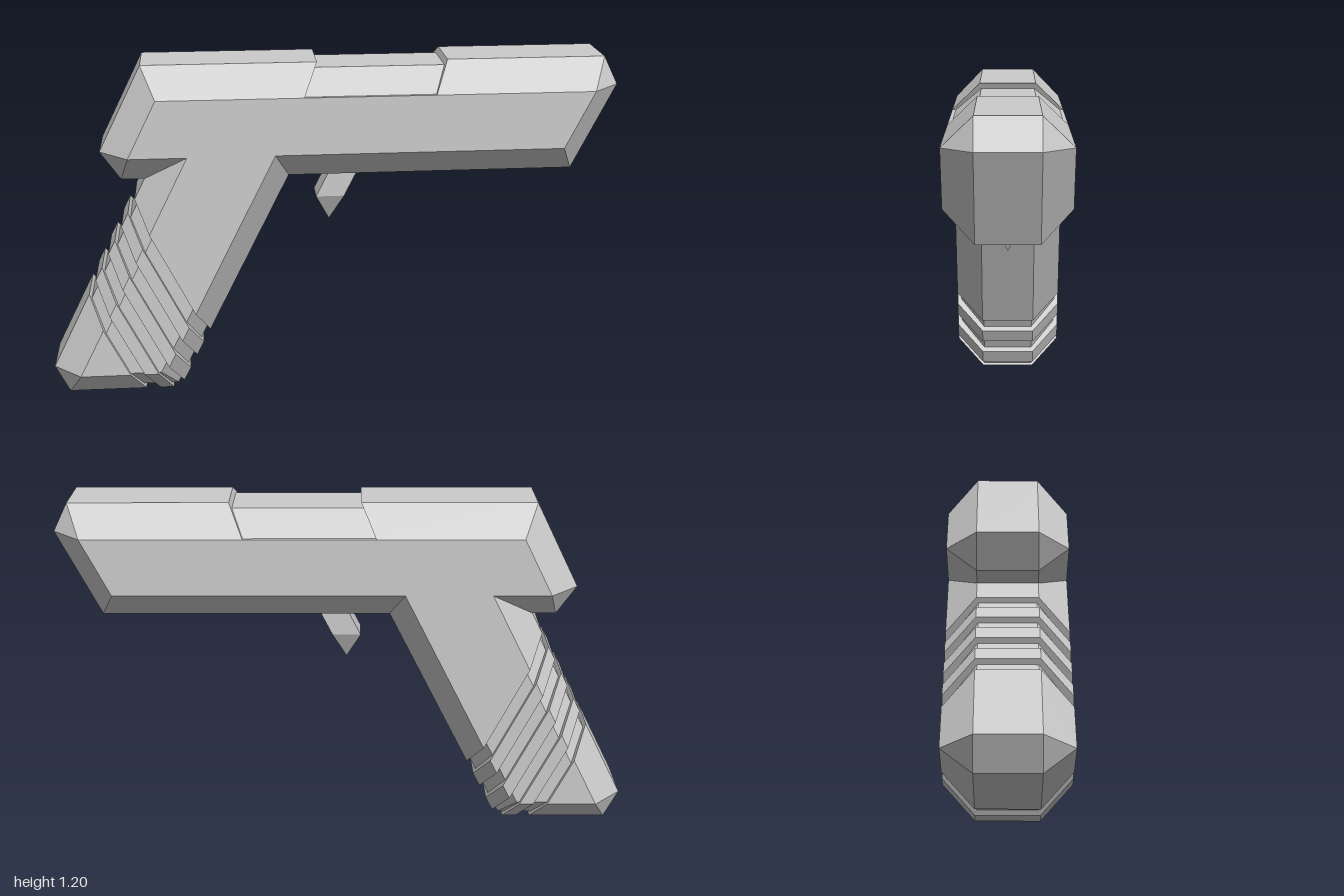
import * as THREE from 'three';
import { ConvexGeometry } from 'three/addons/geometries/ConvexGeometry.js';

const material = new THREE.MeshStandardMaterial({ color: 0xcccccc, flatShading: true });

function hull(name, points) {
  const unique = new Map();
  for (const p of points) unique.set(p.toArray().map((v) => Math.round(v * 1e5)).join(), p);
  const mesh = new THREE.Mesh(new ConvexGeometry([...unique.values()]), material);
  mesh.name = name;
  return mesh;
}

// [x, y, z] corners repeated on both sides of the centre plane
const mirrored = (list) =>
  list.flatMap(([x, y, z]) => [new THREE.Vector3(x, y, z), new THREE.Vector3(x, y, -z)]);

// Edges of the bevelled, leaning grip, shrunk by an inset d
function gripEdges(d) {
  const front = (y) => -0.55 + 0.5 * y - 1.1 * d;
  const rear = (y) => -1.05 + 0.5 * y + 1.1 * d;
  const top = 1.0, bevel = 0.1;
  const outer = [[rear(top), top], [rear(0.1), 0.1], [-0.95 + d / 2, d], [front(d), d], [front(top), top]];
  const inner = [[rear(top) + bevel, top], [rear(0.1) + bevel, 0.1], [rear(0.1) + bevel, 0.1],
    [front(0.1) - bevel, 0.1], [front(top) - bevel, top]];
  const edges = [];
  for (const side of [1, -1]) {
    const o = outer.map(([x, y]) => new THREE.Vector3(x, y, side * (0.1 - 0.4 * d)));
    const n = inner.map(([x, y]) => new THREE.Vector3(x, y, side * (0.2 - d)));
    o.forEach((p, i) => {
      const j = (i + 1) % o.length;
      edges.push([p, o[j]], [n[i], n[j]], [p, n[i]]);
      if (side > 0) edges.push([p, new THREE.Vector3(p.x, p.y, -p.z)]);
    });
  }
  return edges;
}

// Slice of the grip between two slanted planes 2x + y = low and high
function gripSlice(name, d, low, high) {
  const level = (p) => 2 * p.x + p.y;
  const points = [];
  for (const [a, b] of gripEdges(d)) {
    const la = level(a), lb = level(b);
    for (const [p, l] of [[a, la], [b, lb]]) if (l >= low && l <= high) points.push(p);
    for (const cut of [low, high]) {
      if ((la - cut) * (lb - cut) < 0) points.push(a.clone().lerp(b, (cut - la) / (lb - la)));
    }
  }
  return hull(name, points);
}

export function createModel() {
  const model = new THREE.Group();

  // Barrel body up to the shoulder line
  model.add(hull('barrelBody', mirrored([
    [1, 1.1, 0.1], [0.85, 0.8, 0.1], [-0.73, 0.8, 0.1], [-0.8, 0.9, 0.1], [-0.7, 1.1, 0.1],
    [0.9, 1.1, 0.2], [0.8, 0.9, 0.2], [-0.7, 0.9, 0.2], [-0.6, 1.1, 0.2],
  ])));

  // Bevelled top in three pieces, the middle one recessed
  model.add(hull('rearTop', mirrored([
    [-0.65, 1.2, 0.1], [-0.05, 1.2, 0.1], [-0.7, 1.1, 0.1], [-0.6, 1.1, 0.2], [-0.1, 1.1, 0.2],
  ])));
  model.add(hull('recessedTop', mirrored([
    [-0.06, 1.18, 0.095], [0.39, 1.18, 0.095], [-0.1, 1.1, 0.187], [0.35, 1.1, 0.187],
  ])));
  model.add(hull('frontTop', mirrored([
    [0.4, 1.2, 0.1], [0.95, 1.2, 0.1], [1, 1.1, 0.1], [0.9, 1.1, 0.2], [0.35, 1.1, 0.2],
  ])));

  // Grip: full-size slices standing proud of a slimmer core, leaving slanted grooves
  const grip = new THREE.Group();
  grip.name = 'grip';
  grip.add(gripSlice('gripCore', 0.015, -1.4, -0.6));
  grip.add(gripSlice('gripUpper', 0, -0.65, 5));
  for (let i = 0; i < 3; i++) grip.add(gripSlice('gripRib', 0, -0.85 - 0.2 * i, -0.75 - 0.2 * i));
  grip.add(gripSlice('gripHeel', 0, -5, -1.35));
  model.add(grip);

  // Pointed trigger
  model.add(hull('trigger', mirrored([
    [0.02, 0.84, 0.05], [0.12, 0.84, 0.05], [-0.05, 0.7, 0.05], [0.05, 0.7, 0.05], [0, 0.6, 0],
  ])));

  return model;
}
